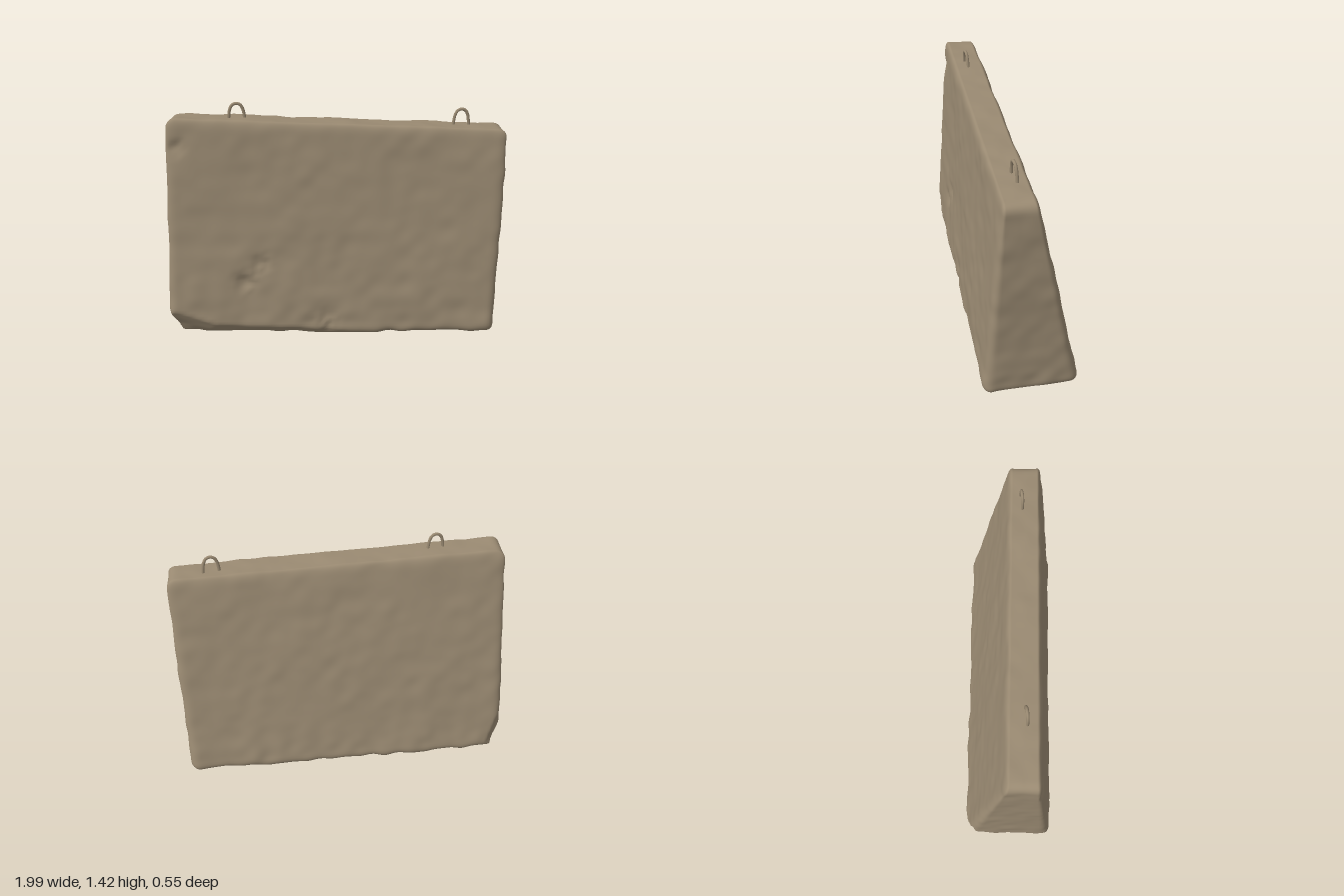
import * as THREE from 'three';
import { mergeVertices } from 'three/addons/utils/BufferGeometryUtils.js';

const { lerp, clamp } = THREE.MathUtils;
const V = (x, y, z) => new THREE.Vector3(x, y, z);

// Smooth repeatable 3D value noise in -1..1
function hash(x, y, z) {
  let h = (x * 374761393 + y * 668265263 + z * 1274126177) | 0;
  h = Math.imul(h ^ (h >>> 13), 1274126177);
  return ((h ^ (h >>> 16)) >>> 0) / 2147483648 - 1;
}
function noise(x, y, z) {
  const c = [x, y, z].map(Math.floor);
  const [u, v, w] = [x - c[0], y - c[1], z - c[2]].map((f) => f * f * (3 - 2 * f));
  const at = (i, j, k) => hash(c[0] + i, c[1] + j, c[2] + k);
  const row = (j, k) => lerp(at(0, j, k), at(1, j, k), u);
  return lerp(lerp(row(0, 0), row(1, 0), v), lerp(row(0, 1), row(1, 1), v), w);
}

// Plane through three points, facing away from the middle of the block
function chip(a, b, c) {
  const plane = new THREE.Plane().setFromCoplanarPoints(a, b, c);
  return plane.distanceToPoint(V(0, 0.6, 0)) > 0 ? plane.negate() : plane;
}

function blockGeometry() {
  const half = V(1, 0.65, 0.28), r = 0.055;
  let geo = new THREE.BoxGeometry(2, 1.3, 0.56, 110, 72, 32);
  geo.deleteAttribute('uv');
  geo.deleteAttribute('normal');
  geo = mergeVertices(geo, 1e-4);
  const pos = geo.attributes.position;
  const p = V(0, 0, 0), core = V(0, 0, 0), n = V(0, 0, 0);
  const lo = half.clone().multiplyScalar(-1).addScalar(r), hi = half.clone().subScalar(r);

  // Broken corners and edges
  const chips = [
    chip(V(-0.9, 0, -0.27), V(-1, 0, -0.2), V(-1, 1, -0.2)),
    chip(V(0.96, 0, -0.27), V(1, 0, -0.22), V(1, 1, -0.22)),
    chip(V(-1, 0.19, 0), V(-0.93, 0, 0), V(-0.93, 0, 1)),
    chip(V(-1, 0.19, 0.265), V(-0.5, 0.01, 0.27), V(-0.9, 0, 0.17)),
    chip(V(-0.6, 0.08, 0.27), V(0.4, 0.03, 0.27), V(-0.2, 0, 0.22)),
  ];
  // Dents on the front: x, y, radius, depth
  const dents = [[-0.53, 0.35, 0.06, 0.018], [-0.43, 0.46, 0.06, 0.014], [-0.9, 1.16, 0.045, 0.02],
    [-0.05, 0.08, 0.07, 0.015]];

  for (let i = 0; i < pos.count; i++) {
    // Round the edges
    p.fromBufferAttribute(pos, i);
    core.copy(p).clamp(lo, hi);
    n.copy(p).sub(core).normalize();
    p.copy(core).addScaledVector(n, r);
    // Taper toward the top and slope the top down to one end
    const t = (p.y + half.y) / (2 * half.y), u = (p.x + 1) / 2, w = (p.z + half.z) / (2 * half.z);
    p.set(
      lerp(lerp(-1, -0.95, t), lerp(0.975, 0.99, t), u),
      t * lerp(1.32, 1.25, u) + 0.008,
      lerp(lerp(-0.28, -0.012, t), lerp(0.27, 0.172, t), w),
    );
    for (const plane of chips) {
      const d = plane.distanceToPoint(p);
      if (d > 0) p.addScaledVector(plane.normal, -d);
    }
    if (n.z > 0.3) {
      for (const [x, y, s, depth] of dents) {
        const q = ((p.x - x) ** 2 + (p.y - y) ** 2) / (s * s);
        p.z -= depth * Math.exp(-q) * (1 + 0.6 * noise(p.x * 30, p.y * 30, 3));
      }
    }
    // Weathered surface, rougher near the ground
    const rough = 0.004 + 0.007 * clamp(1 - p.y / 0.2, 0, 1);
    const bump = 0.005 * noise(p.x * 4 + 7, p.y * 4, p.z * 4) + rough * noise(p.x * 12, p.y * 12 + 5, p.z * 12);
    p.addScaledVector(n, bump);
    pos.setXYZ(i, p.x, p.y, p.z);
  }
  geo.computeBoundingBox();
  geo.translate(0, -geo.boundingBox.min.y, 0);
  geo.computeVertexNormals();
  return geo;
}

export function createModel() {
  const model = new THREE.Group();
  const concrete = new THREE.MeshStandardMaterial({ color: 0x9a8a72 });
  concrete.name = 'weathered concrete';

  const block = new THREE.Mesh(blockGeometry(), concrete);
  block.name = 'barrierBlock';
  model.add(block);

  // Lifting loops set into the top
  const loopPath = new THREE.CatmullRomCurve3([
    V(-0.05, -0.05, 0), V(-0.046, 0.01, 0), V(-0.036, 0.07, 0), V(-0.02, 0.094, 0), V(0, 0.1, 0),
    V(0.02, 0.094, 0), V(0.036, 0.07, 0), V(0.046, 0.01, 0), V(0.05, -0.05, 0),
  ]);
  const loopGeo = new THREE.TubeGeometry(loopPath, 40, 0.009, 8);
  for (const [name, x, y, z] of [['rightLiftingLoop', -0.557, 1.307, 0.092], ['leftLiftingLoop', 0.737, 1.262, 0.06]]) {
    const loop = new THREE.Mesh(loopGeo, concrete);
    loop.name = name;
    loop.position.set(x, y, z);
    loop.rotation.set(0.04, 0.12, 0);
    model.add(loop);
  }
  return model;
}
